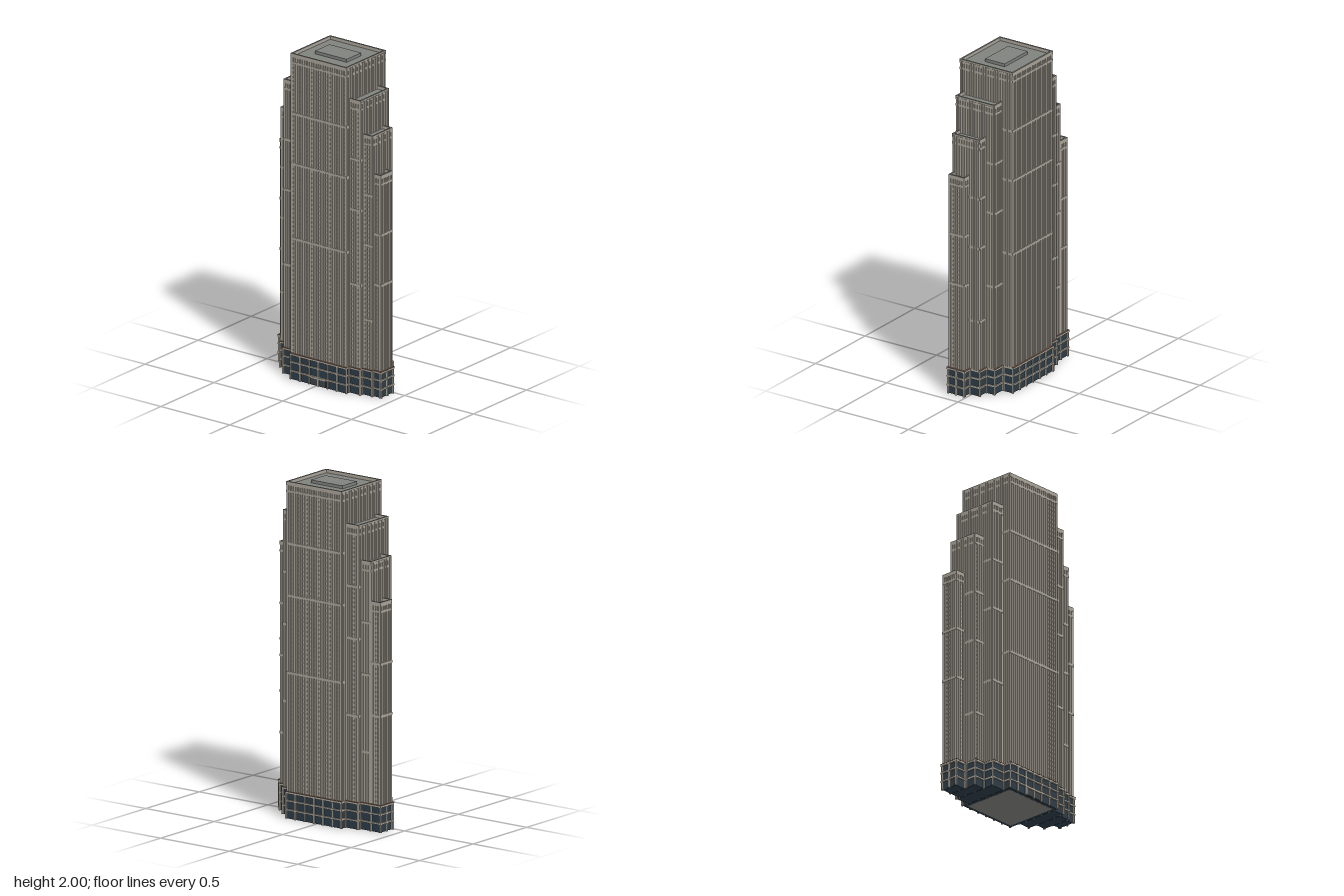
import * as THREE from 'three';
import { mergeGeometries } from 'three/addons/utils/BufferGeometryUtils.js';

const mat = (name, color) => {
  const m = new THREE.MeshStandardMaterial({ color });
  m.name = name;
  return m;
};

// Box given by its low and high corners
function box(x0, x1, y0, y1, z0, z1) {
  return new THREE.BoxGeometry(x1 - x0, y1 - y0, z1 - z0)
    .translate((x0 + x1) / 2, (y0 + y1) / 2, (z0 + z1) / 2);
}

const BASE = 0.16, RIB = 0.006, LEDGE = 0.01, FLOOR = 0.027;

// Stepped tower blocks: sides lists the x faces that carry a facade, end marks the outermost blocks
const BLOCKS = [
  { name: 'centralTower', x0: -0.185, x1: 0.218, z0: -0.186, z1: 0.184, top: 2.0, sides: [-1, 1], bays: 6 },
  { name: 'leftUpperSetback', x0: 0.218, x1: 0.298, z0: -0.114, z1: 0.156, top: 1.806, sides: [1], bays: 1 },
  { name: 'leftMiddleSetback', x0: 0.298, x1: 0.367, z0: -0.056, z1: 0.133, top: 1.598, sides: [1], bays: 1 },
  { name: 'leftLowerSetback', x0: 0.367, x1: 0.42, z0: 0.013, z1: 0.121, top: 1.365, sides: [1], bays: 1, end: true },
  { name: 'rightUpperSetback', x0: -0.277, x1: -0.185, z0: -0.148, z1: 0.133, top: 1.806, sides: [-1], bays: 1 },
  { name: 'rightMiddleSetback', x0: -0.351, x1: -0.277, z0: -0.125, z1: 0.064, top: 1.598, sides: [-1], bays: 1 },
  { name: 'rightLowerSetback', x0: -0.42, x1: -0.351, z0: -0.125, z1: -0.017, top: 1.365, sides: [-1], bays: 1, end: true },
];

export function createModel() {
  const stone = mat('paleStone', 0xaaa499);
  const spandrel = mat('spandrelGrey', 0x7a7770);
  const glass = mat('darkBlueGlass', 0x2c3c48);
  const roofGrey = mat('roofGrey', 0x80827e);
  const brown = mat('brownLedge', 0x745c4c);
  const dark = mat('darkMetal', 0x3f4346);

  const model = new THREE.Group();
  model.name = 'steppedSkyscraper';
  const add = (parent, name, geos, material) => {
    const mesh = new THREE.Mesh(mergeGeometries(geos), material);
    mesh.name = name;
    parent.add(mesh);
  };

  for (const b of BLOCKS) {
    const g = new THREE.Group();
    g.name = b.name;
    model.add(g);
    const { x0, x1, z0, z1, top } = b;
    const lo = b.sides.includes(-1), hi = b.sides.includes(1);
    const cx0 = lo ? x0 + RIB : x0, cx1 = hi ? x1 - RIB : x1;
    const roofY = top - 0.02;

    // Bar wrapped round the open faces, standing out by dz on front and back and dx on the sides
    const hoop = (y0, y1, dz, dx, t) => {
      const a = lo ? x0 - dx : x0, c = hi ? x1 + dx : x1;
      const bars = [box(a, c, y0, y1, z1 + dz - t, z1 + dz), box(a, c, y0, y1, z0 - dz, z0 - dz + t)];
      for (const s of b.sides) {
        const f = s > 0 ? x1 + dx : x0 - dx;
        bars.push(box(Math.min(f, f - s * t), Math.max(f, f - s * t), y0, y1, z0 - dz, z1 + dz));
      }
      return bars;
    };

    // Glazed core with a grey spandrel at every floor
    add(g, 'windowCore', [box(cx0, cx1, BASE, roofY - 0.004, z0 + RIB, z1 - RIB)], glass);
    const floors = [];
    for (let y = BASE; y < top - 0.08; y += FLOOR) {
      floors.push(box(cx0 - (lo ? 0.002 : 0), cx1 + (hi ? 0.002 : 0), y, y + 0.6 * FLOOR, z0 + RIB - 0.002, z1 - RIB + 0.002));
    }
    add(g, 'spandrels', floors, spandrel);

    // Vertical stone ribs, proud of the wall on the stepped sides
    const ribs = [];
    const nx = Math.round((x1 - x0) / 0.0165), px = (x1 - x0) / nx;
    for (let i = 0; i < nx; i++) {
      const a = x0 + (i + 0.14) * px, c = a + 0.72 * px;
      ribs.push(box(a, c, BASE, top - 0.01, z1 - RIB, z1), box(a, c, BASE, top - 0.01, z0, z0 + RIB));
    }
    const nz = Math.round((z1 - z0) / 0.0165), pz = (z1 - z0) / nz;
    const out = b.end ? 0 : 0.003;
    for (const s of b.sides) for (let i = 0; i < nz; i++) {
      const a = z0 + (i + 0.14) * pz;
      const r0 = s > 0 ? x1 - RIB : x0 - out;
      ribs.push(box(r0, r0 + RIB + out, BASE, top - 0.01, a, a + 0.72 * pz));
    }
    // Corner piers
    for (const s of b.sides) for (const z of [z0, z1 - 0.009]) {
      const f = s > 0 ? x1 - 0.009 : x0;
      ribs.push(box(f, f + 0.009, BASE, top - 0.01, z, z + 0.009));
    }
    add(g, 'verticalRibs', ribs, stone);

    // Floor bands at fixed drops below the top
    const bands = [];
    for (const drop of [0.368, 0.677, 1.135]) {
      const y = top - drop;
      if (y > 0.3) bands.push(...hoop(y - 0.008, y + 0.008, 0.002, 0.002, 0.009));
    }
    add(g, 'floorBands', bands, stone);

    // Crown with open slots, grey coping and sunken roof
    add(g, 'crown', [
      ...hoop(top - 0.024, top - 0.002, 0.001, 0.001, 0.01),
      ...hoop(top - 0.064, top - 0.05, 0.001, 0.001, 0.008),
    ], stone);
    add(g, 'coping', hoop(top - 0.002, top, 0.001, 0.001, 0.01), roofGrey);
    add(g, 'roof', [box(cx0, cx1, roofY - 0.004, roofY, z0 + RIB, z1 - RIB)], roofGrey);

    // Recessed glass podium with a brown ledge above
    add(g, 'podiumGlass', [box(lo ? x0 + 0.002 : x0, hi ? x1 - 0.002 : x1, 0, BASE - 0.005, z0 + 0.002, z1 - 0.002)], glass);
    const sideOut = b.end ? LEDGE : 0.002;
    add(g, 'podiumLedge', hoop(BASE - 0.001, BASE + 0.003, LEDGE, sideOut, 0.014), brown);

    // Podium grid of bars and posts
    const grid = [];
    for (const y of [0.053, 0.107, 0.154]) grid.push(...hoop(y - 0.005, y + 0.005, LEDGE - 0.001, sideOut - 0.001, 0.009));
    for (let i = 0; i <= b.bays; i++) {
      const x = x0 + (x1 - x0) * i / b.bays;
      grid.push(box(x - 0.005, x + 0.005, 0, BASE, z1 - 0.003, z1 + LEDGE - 0.002));
      grid.push(box(x - 0.005, x + 0.005, 0, BASE, z0 - LEDGE + 0.002, z0 + 0.003));
    }
    const mz = Math.max(2, Math.round((z1 - z0) / 0.064));
    for (const s of b.sides) for (let i = 0; i <= mz; i++) {
      const z = z0 + (z1 - z0) * i / mz;
      const f = s > 0 ? x1 - 0.003 : x0 - sideOut;
      grid.push(box(f, f + sideOut + 0.003, 0, BASE, z - 0.005, z + 0.005));
    }
    add(g, 'podiumGrid', grid, stone);
  }

  // Rooftop plant room
  add(model, 'plantRoom', [box(-0.1, 0.131, 1.979, 1.998, -0.07, 0.067)], roofGrey);

  // Entrance doors under a thin canopy
  add(model, 'entranceDoors', [box(-0.038, 0.07, 0.002, 0.046, 0.181, 0.188)], dark);
  add(model, 'entranceCanopy', [box(-0.042, 0.074, 0.044, 0.053, 0.184, 0.194)], stone);

  // Underside slab
  add(model, 'underside', [box(-0.165, 0.198, -0.001, 0.003, -0.165, 0.165)], roofGrey);
  return model;
}
